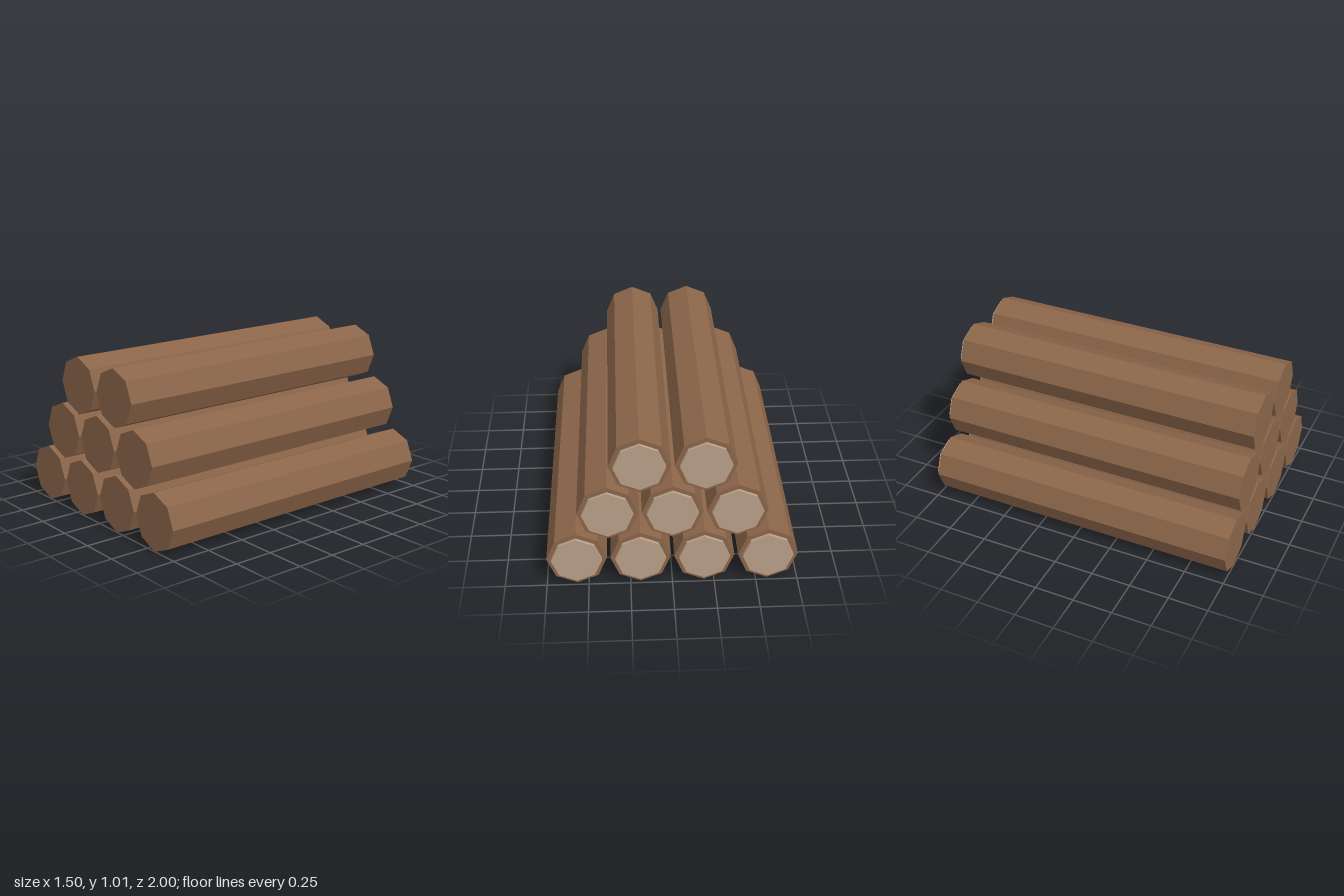
import * as THREE from 'three';

export function createModel() {
  const bark = new THREE.MeshStandardMaterial({ color: 0x8b6549, flatShading: true });
  bark.name = 'bark brown';
  const cutWood = new THREE.MeshStandardMaterial({ color: 0xb8a089, flatShading: true });
  cutWood.name = 'pale cut wood';

  // Eight-sided prism lying along z, with a corner pointing straight up
  const prism = (radius, zBack, zFront) =>
    new THREE.CylinderGeometry(radius, radius, zFront - zBack, 8)
      .rotateX(Math.PI / 2)
      .translate(0, 0, (zBack + zFront) / 2);

  const RADIUS = 0.179, SPACING = 0.379, ROW_HEIGHT = 0.325;
  const logGeometry = prism(RADIUS, -0.98, 1);
  const capGeometry = prism(0.151, -1, -0.98);

  const model = new THREE.Group();
  model.name = 'logPile';

  // Stacked rows of four, three and two logs
  [4, 3, 2].forEach((count, row) => {
    for (let i = 0; i < count; i++) {
      const log = new THREE.Group();
      log.name = `log_row${row + 1}_${i + 1}`;
      const trunk = new THREE.Mesh(logGeometry, bark);
      trunk.name = 'trunk';
      const cap = new THREE.Mesh(capGeometry, cutWood);
      cap.name = 'cutEnd';
      log.add(trunk, cap);
      log.position.set((i - (count - 1) / 2) * SPACING, RADIUS + row * ROW_HEIGHT, 0);
      model.add(log);
    }
  });
  return model;
}
